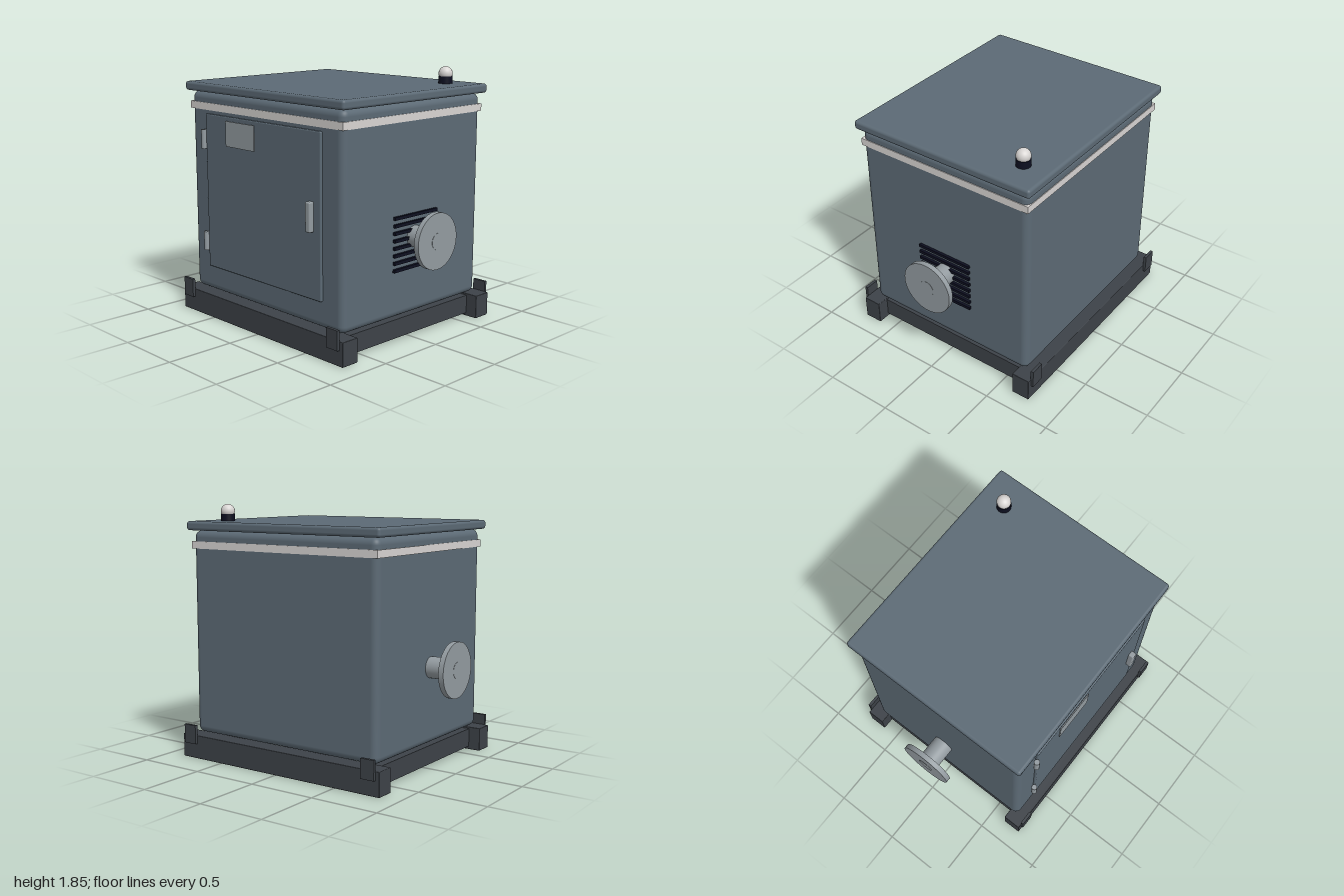
import * as THREE from 'three';
import { RoundedBoxGeometry } from 'three/addons/geometries/RoundedBoxGeometry.js';

const material = (name, color) => {
  const m = new THREE.MeshStandardMaterial({ color });
  m.name = name;
  return m;
};

export function createModel() {
  const paint = material('slate paint', 0x5c6a75);
  const steel = material('dark steel', 0x3d4248);
  const metal = material('bare metal', 0x939ba0);
  const pale = material('off white', 0xd8d5d3);
  const black = material('navy black', 0x0d0f20);

  const model = new THREE.Group();
  model.name = 'equipmentCabinet';

  const add = (name, geometry, mat, x, y, z) => {
    const mesh = new THREE.Mesh(geometry, mat);
    mesh.name = name;
    mesh.position.set(x, y, z);
    model.add(mesh);
    return mesh;
  };
  const box = (name, mat, w, h, d, x, y, z) =>
    add(name, new THREE.BoxGeometry(w, h, d), mat, x, y, z);
  const rounded = (name, mat, w, h, d, r, x, y, z) =>
    add(name, new RoundedBoxGeometry(w, h, d, 4, r), mat, x, y, z);

  // Housing, lid and trim band
  rounded('body', paint, 1.58, 1.48, 1.376, 0.05, 0, 0.92, 0);
  rounded('lid', paint, 1.65, 0.065, 1.44, 0.02, 0, 1.6925, 0);
  box('trimBand', pale, 1.59, 0.052, 1.386, 0, 1.556, 0);

  // Front door with hinges, handle and nameplate
  rounded('door', paint, 1.205, 1.135, 0.03, 0.008, 0, 0.9375, 0.692);
  box('nameplate', metal, 0.31, 0.18, 0.008, -0.21, 1.385, 0.71);
  for (const y of [0.56, 1.32]) {
    add('hinge', new THREE.CylinderGeometry(0.02, 0.02, 0.14, 20), metal, -0.62, y, 0.712);
  }
  rounded('handle', metal, 0.045, 0.205, 0.045, 0.01, 0.517, 0.937, 0.725);

  // Flanged pipe stubs on both sides
  for (const side of [-1, 1]) {
    const tube = (name, radius, length, x) => {
      const geometry = new THREE.CylinderGeometry(radius, radius, length, 48);
      add(name, geometry, metal, side * x, 0.73, 0).rotation.z = -side * Math.PI / 2;
    };
    tube('pipe', 0.076, 0.2, 0.87);
    tube('flange', 0.197, 0.038, 0.979);
    tube('flangeCentre', 0.058, 0.004, 0.998);
  }

  // Ventilation slats on the left side
  for (let i = 0; i < 8; i++) {
    box('ventSlat', black, 0.03, 0.022, 0.43, 0.795, 0.522 + i * 0.052, 0);
  }

  // Skid: long rails, cross members and corner lugs
  for (const z of [-1, 1]) {
    rounded('skidRail', steel, 1.72, 0.172, 0.137, 0.005, 0, 0.086, z * 0.688);
    for (const x of [-1, 1]) {
      box('liftingLug', steel, 0.105, 0.138, 0.022, x * 0.777, 0.18, z * 0.765);
    }
  }
  for (const x of [-0.72, 0, 0.72]) {
    box('crossMember', steel, 0.1, 0.136, 1.26, x, 0.091, 0);
  }

  // Warning beacon on the lid
  add('beaconBase', new THREE.CylinderGeometry(0.051, 0.051, 0.055, 32), black, 0.602, 1.749, -0.52);
  add('beaconDome', new THREE.SphereGeometry(0.05, 32, 20), pale, 0.602, 1.796, -0.52);

  return model;
}
